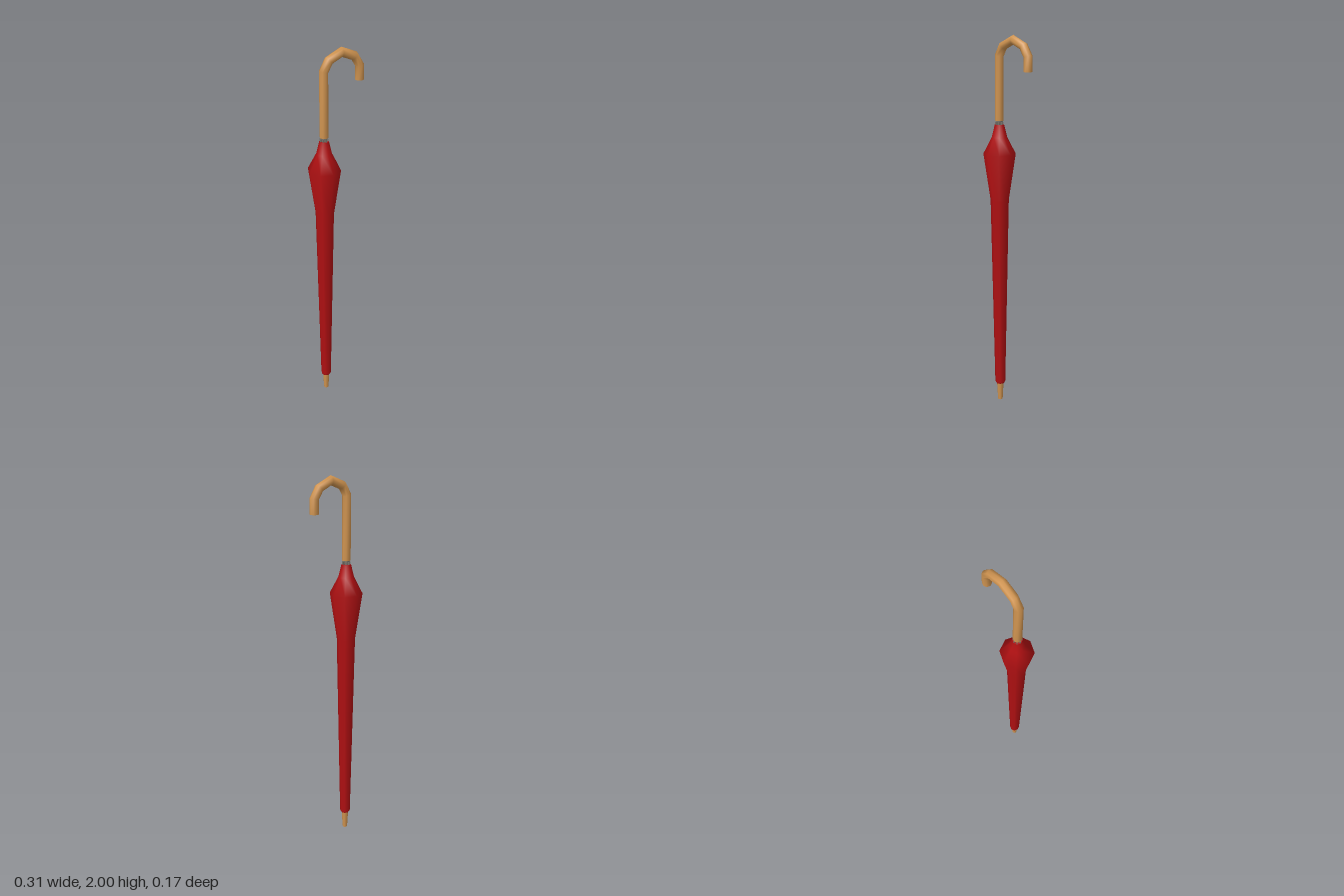
import * as THREE from 'three';

const SIDES = 8;
const AXIS = -0.07; // x of the shaft

// Turned part from [radius, height] pairs; a repeated pair makes a sharp edge
function turned(name, profile, material) {
  const points = profile.map(([r, y]) => new THREE.Vector2(r, y));
  const mesh = new THREE.Mesh(new THREE.LatheGeometry(points, SIDES), material);
  mesh.name = name;
  mesh.position.x = AXIS;
  return mesh;
}

// Octagonal rod swept along a polyline in the xy plane, with mitred corners
function sweep(path, radius) {
  const pts = path.map(([x, y]) => new THREE.Vector2(x, y));
  const positions = [], index = [];
  const ring = (p, n, stretch) => {
    for (let j = 0; j < SIDES; j++) {
      const a = (j / SIDES) * Math.PI * 2;
      const r = Math.cos(a) * radius * stretch;
      positions.push(p.x + n.x * r, p.y + n.y * r, Math.sin(a) * radius);
    }
  };
  const last = pts.length - 1;
  pts.forEach((p, i) => {
    const before = p.clone().sub(pts[Math.max(i - 1, 0)]).normalize();
    const after = pts[Math.min(i + 1, last)].clone().sub(p).normalize();
    const t = before.clone().add(after).normalize();
    const stretch = 1 / t.dot(i < last ? after : before);
    ring(p, new THREE.Vector2(t.y, -t.x), stretch);
  });
  for (let i = 0; i < last; i++) {
    for (let j = 0; j < SIDES; j++) {
      const k = (j + 1) % SIDES;
      const a = i * SIDES + j, b = i * SIDES + k;
      index.push(a, a + SIDES, b, b, a + SIDES, b + SIDES);
    }
  }
  // End caps with their own corners keep the rims sharp
  for (const [start, flip] of [[0, false], [last * SIDES, true]]) {
    const base = positions.length / 3;
    positions.push(...positions.slice(start * 3, (start + SIDES) * 3));
    for (let j = 1; j < SIDES - 1; j++) {
      index.push(base, base + (flip ? j + 1 : j), base + (flip ? j : j + 1));
    }
  }
  const geometry = new THREE.BufferGeometry();
  geometry.setAttribute('position', new THREE.Float32BufferAttribute(positions, 3));
  geometry.setIndex(index);
  geometry.computeVertexNormals();
  return geometry;
}

export function createModel() {
  const colour = (name, color) => {
    const material = new THREE.MeshStandardMaterial({ color });
    material.name = name;
    return material;
  };
  const red = colour('red cloth', 0xb01012);
  const wood = colour('wood', 0xd09450);
  const metal = colour('grey metal', 0x77726a);

  const group = new THREE.Group();
  group.name = 'closedUmbrella';

  // Wooden tip
  group.add(turned('tip', [
    [0, 0], [0.013, 0], [0.013, 0], [0.019, 0.11],
  ], wood));

  // Furled cloth, flaring near the top where the ribs end
  group.add(turned('canopy', [
    [0, 0.102], [0.024, 0.102], [0.024, 0.102], [0.028, 0.112],
    [0.048, 1.16], [0.084, 1.405], [0.04, 1.49],
    [0.024, 1.555], [0.024, 1.555], [0, 1.555],
  ], red));

  // Metal collar under the handle, ringed by small rib ends
  group.add(turned('collar', [[0.015, 1.55], [0.015, 1.58]], metal));
  const ribEnds = new THREE.Group();
  ribEnds.name = 'ribEnds';
  ribEnds.position.set(AXIS, 1.56, 0);
  for (let i = 0; i < SIDES; i++) {
    const a = (i / SIDES) * Math.PI * 2;
    const rib = new THREE.Mesh(new THREE.BoxGeometry(0.008, 0.018, 0.004), metal);
    rib.name = 'ribEnd';
    rib.position.set(Math.cos(a) * 0.018, 0, Math.sin(a) * 0.018);
    rib.rotation.y = -a;
    ribEnds.add(rib);
  }
  group.add(ribEnds);

  // Crook handle
  const handle = new THREE.Mesh(sweep([
    [AXIS, 1.575], [AXIS, 1.9], [-0.041, 1.948], [0.03, 1.978],
    [0.101, 1.948], [0.132, 1.9], [0.132, 1.828],
  ], 0.022), wood);
  handle.name = 'handle';
  group.add(handle);

  return group;
}
